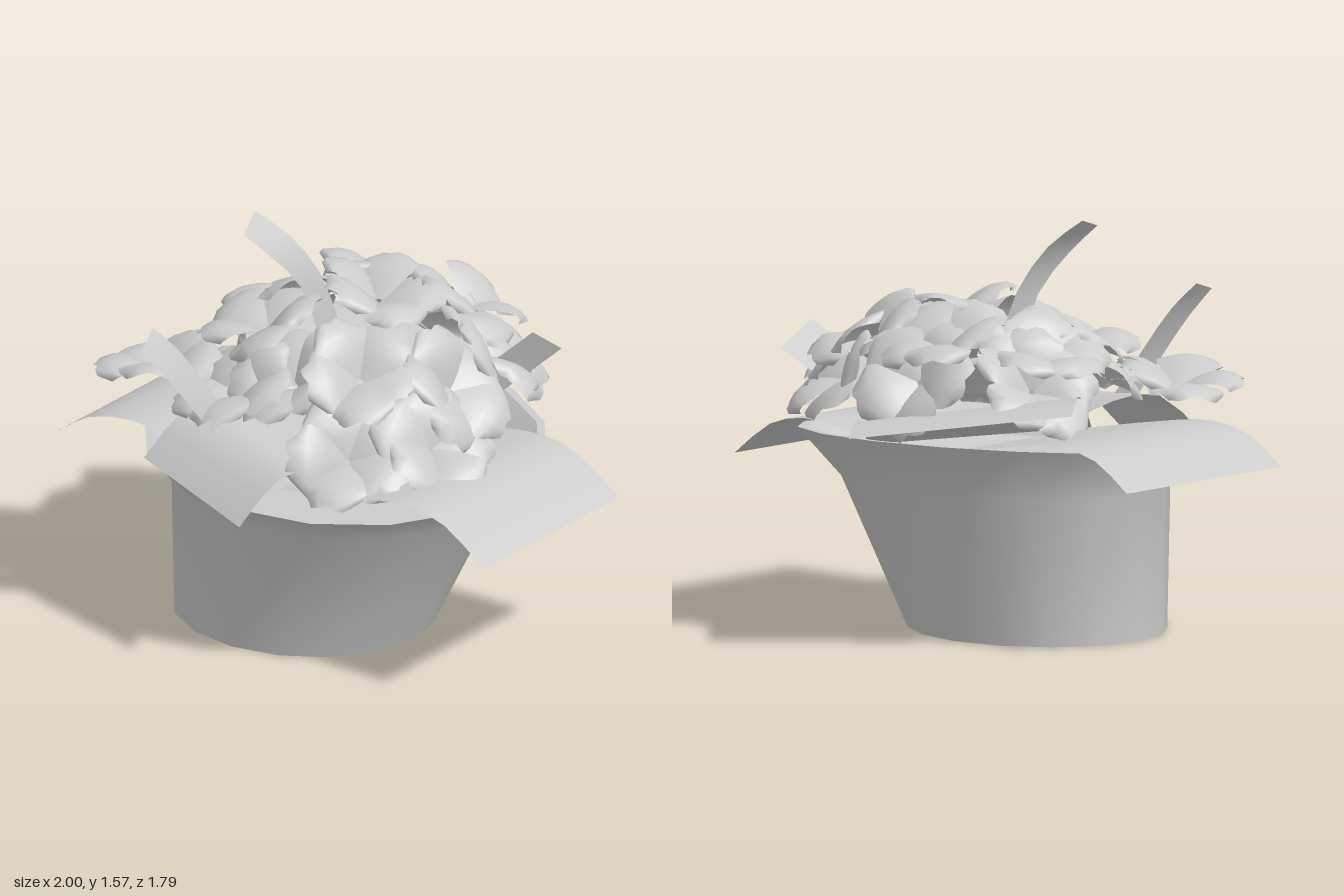
import * as THREE from 'three';

const material = new THREE.MeshStandardMaterial({ color: 0xcccccc, side: THREE.DoubleSide });

function addMesh(parent, name, geometry) {
  const mesh = new THREE.Mesh(geometry, material);
  mesh.name = name;
  parent.add(mesh);
  return mesh;
}

// Grid surface from a function of (u, v), both 0..1
function gridSurface(nu, nv, fn) {
  const pos = [], index = [];
  for (let i = 0; i <= nu; i++)
    for (let j = 0; j <= nv; j++) pos.push(...fn(i / nu, j / nv));
  for (let i = 0; i < nu; i++)
    for (let j = 0; j < nv; j++) {
      const a = i * (nv + 1) + j, b = a + nv + 1;
      index.push(a, b, a + 1, b, b + 1, a + 1);
    }
  const g = new THREE.BufferGeometry();
  g.setAttribute('position', new THREE.Float32BufferAttribute(pos, 3));
  g.setIndex(index);
  g.computeVertexNormals();
  return g;
}

// Oval rings joined into a skin; ring = [cx, cz, rx, rz, y, tilt toward the front]
function loft(rings, sides = 16) {
  const g = gridSurface(rings.length - 1, sides, (u, v) => {
    const [cx, cz, rx, rz, y, tilt] = rings[Math.round(u * (rings.length - 1))];
    const a = v * Math.PI * 2, c = Math.cos(a), s = Math.sin(a);
    return [cx + rx * c, y - tilt * (s + 0.3 * c), cz + rz * s];
  });
  // Smooth the seam where the skin closes
  const n = g.attributes.normal, first = new THREE.Vector3(), last = new THREE.Vector3();
  rings.forEach((_, i) => {
    const a = i * (sides + 1), b = a + sides;
    first.fromBufferAttribute(n, a).add(last.fromBufferAttribute(n, b)).normalize();
    n.setXYZ(a, first.x, first.y, first.z);
    n.setXYZ(b, first.x, first.y, first.z);
  });
  return g;
}

// Sheet stretched between two edge curves
function sheet(edgeA, edgeB, steps = 6) {
  const curve = pts => new THREE.CatmullRomCurve3(pts.map(p => new THREE.Vector3(...p)));
  const a = curve(edgeA), b = curve(edgeB);
  return gridSurface(steps, 2, (u, v) => a.getPoint(u).lerp(b.getPoint(u), v).toArray());
}

// Broad heart-shaped petal reaching along +z, rising and then levelling out
function petalGeometry(length, width) {
  return gridSurface(6, 6, (t, v) => {
    const u = v * 2 - 1;
    const w = width * (0.16 + 0.84 * Math.sin(Math.min(1, t * 1.2) * Math.PI / 2)) * (1 - 0.35 * t ** 5);
    const notch = t ** 3 * (0.09 * Math.exp(-u * u * 8) + 0.25 * u ** 4);
    const y = 0.08 * Math.sin(t * 2.2) - 0.04 * u * u * t;
    return [u * w, y, 0.01 + length * (t - notch)];
  });
}

export function createModel() {
  const model = new THREE.Group();
  model.name = 'pottedFlowers';

  // Leaning pot with a flared, tilted rim
  const pot = new THREE.Group();
  pot.name = 'pot';
  model.add(pot);
  const base = [-0.15, 0.15, 0.515, 0.46, 0, 0];
  const mid = [-0.03, 0.105, 0.66, 0.575, 0.56, 0.015];
  const rim = [0, 0.09, 0.8, 0.7, 0.72, 0.062];
  const lip = [0, 0.09, 0.77, 0.67, 0.72, 0.06];
  const soil = [-0.01, 0.1, 0.68, 0.59, 0.64, 0.04];
  addMesh(pot, 'potWall', loft([base, mid, rim]));
  addMesh(pot, 'potBottom', loft([[-0.15, 0.15, 0, 0, 0, 0], base]));
  addMesh(pot, 'potRim', loft([rim, lip]));
  addMesh(pot, 'potInside', loft([lip, soil]));
  addMesh(pot, 'soil', loft([soil, [-0.01, 0.1, 0, 0, 0.64, 0]]));

  // Broad leaves drooping over the rim
  const leaves = new THREE.Group();
  leaves.name = 'broadLeaves';
  model.add(leaves);
  const sidePaths = {
    leftLeaf: [[0.05, 0.68], [0.45, 0.74], [0.65, 0.76], [0.82, 0.72], [1, 0.59]],
    rightLeaf: [[-0.05, 0.7], [-0.45, 0.77], [-0.65, 0.79], [-0.84, 0.755], [-1, 0.65]],
  };
  for (const [name, path] of Object.entries(sidePaths))
    addMesh(leaves, name, sheet(path.map(([x, y]) => [x, y, -0.28]), path.map(([x, y]) => [x, y, 0.58]), 8));
  addMesh(leaves, 'backLeaf', sheet(
    [[-0.38, 0.78, 0.2], [-0.55, 0.92, -0.03], [-0.71, 0.98, -0.24], [-0.83, 0.94, -0.4]],
    [[0.3, 0.7, -0.3], [0.13, 0.82, -0.53], [-0.03, 0.87, -0.74], [-0.15, 0.84, -0.9]]));
  addMesh(leaves, 'frontLeaf', sheet(
    [[-0.27, 0.75, 0.05], [-0.36, 0.86, 0.34], [-0.43, 0.87, 0.52], [-0.5, 0.71, 0.69]],
    [[0.32, 0.68, 0.25], [0.23, 0.8, 0.54], [0.16, 0.8, 0.73], [0.09, 0.64, 0.89]]));

  // Narrow upright blades
  const blades = new THREE.Group();
  blades.name = 'narrowBlades';
  model.add(blades);
  [
    [[[-0.17, 1.0, 0.0], [-0.2, 1.28, 0.1], [-0.25, 1.43, 0.22], [-0.32, 1.53, 0.3]],
      [[-0.17, 1.0, -0.14], [-0.2, 1.3, -0.02], [-0.27, 1.47, 0.08], [-0.37, 1.57, 0.16]]],
    [[[-0.25, 0.84, 0.6], [-0.28, 0.98, 0.7], [-0.33, 1.13, 0.8], [-0.38, 1.23, 0.87]],
      [[-0.24, 0.84, 0.46], [-0.3, 1.02, 0.57], [-0.37, 1.18, 0.66], [-0.43, 1.27, 0.73]]],
    [[[0.3, 0.78, 0.02], [0.4, 0.97, -0.14], [0.5, 1.07, -0.24], [0.58, 1.15, -0.31]],
      [[0.34, 0.74, -0.1], [0.44, 0.87, -0.26], [0.54, 0.97, -0.37], [0.62, 1.05, -0.44]]],
  ].forEach(([a, b], i) => addMesh(blades, 'blade' + (i + 1), sheet(a, b)));

  // Five-petalled flowers forming a dome, each facing outward; [x, y, z, lean]
  const up = new THREE.Vector3(0, 1, 0);
  const petal = petalGeometry(0.25, 0.145);
  [
    [0.2, 1.13, -0.38, 0.8], [-0.18, 1.14, -0.38, 0.9], [0.0, 1.2, -0.12, 0.5], [-0.44, 1.08, -0.12, 1],
    [0.43, 0.98, 0.02, 1.1], [0.17, 1.03, 0.23, 1.1], [-0.32, 1.1, 0.16, 0.9], [-0.63, 0.94, 0.4, 0.25],
    [0.27, 0.8, 0.45, 1.1], [-0.27, 0.93, 0.4, 0.9], [0.48, 0.82, 0.2, 1.1], [-0.08, 0.97, 0.3, 1.4],
    [0.38, 1.0, -0.3, 1], [-0.12, 1.0, -0.47, 1.8], [-0.46, 0.97, -0.22, 1.2], [0.28, 0.97, -0.44, 1.4],
  ].forEach(([x, y, z, lean], i) => {
    const flower = new THREE.Group();
    flower.name = 'flower' + (i + 1);
    flower.position.set(x, y, z);
    const facing = new THREE.Vector3((x + 0.1) * lean, 0.6, (z + 0.03) * lean).normalize();
    flower.quaternion.setFromUnitVectors(up, facing);
    for (let k = 0; k < 5; k++) {
      const m = addMesh(flower, 'petal', petal);
      m.rotation.order = 'YXZ';
      m.rotation.set(0.2 * Math.sin(i * 2.1 + k * 1.7), i * 2.4 + k * Math.PI * 0.4, 0.25 * Math.sin(i + k * 2.3));
    }
    model.add(flower);
  });

  return model;
}
